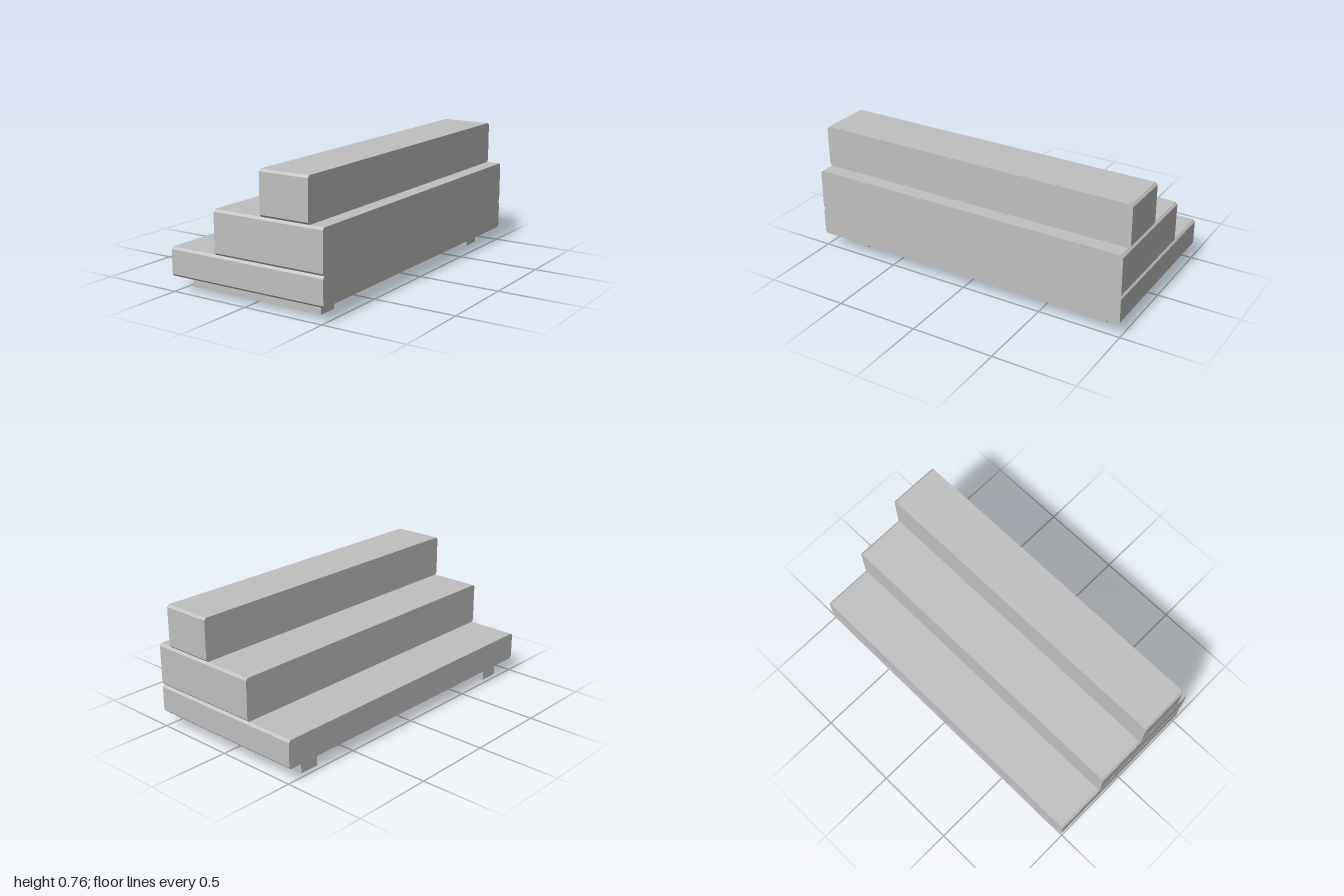
import * as THREE from 'three';

const grey = new THREE.MeshStandardMaterial({ color: 0xc0c0c0 });
grey.name = 'plain grey';

// Long slab along z whose end edges are chamfered, spanning x0..x1 and y0..y1
function slab(name, x0, x1, y0, y1, half = 1, c = 0.013) {
  const profile = new THREE.Shape([
    [-half + c, y0], [half - c, y0], [half, y0 + c], [half, y1 - c],
    [half - c, y1], [-half + c, y1], [-half, y1 - c], [-half, y0 + c],
  ].map(([z, y]) => new THREE.Vector2(z, y)));
  const geometry = new THREE.ExtrudeGeometry(profile, { depth: x1 - x0, bevelEnabled: false });
  geometry.rotateY(Math.PI / 2).translate(x0, 0, 0);
  const mesh = new THREE.Mesh(geometry, grey);
  mesh.name = name;
  return mesh;
}

export function createModel() {
  const model = new THREE.Group();
  model.name = 'steppedBlock';

  // Three stacked steps
  model.add(
    slab('lowerStep', -0.51, 0.51, 0.087, 0.256),
    slab('middleStep', -0.2, 0.51, 0.256, 0.51),
    slab('upperStep', 0.112, 0.421, 0.51, 0.765),
  );

  // Support rails under both ends
  for (const [name, z] of [['frontRail', 0.817], ['backRail', -0.814]]) {
    const rail = new THREE.Mesh(new THREE.BoxGeometry(0.878, 0.087, 0.12), grey);
    rail.position.set(-0.031, 0.0435, z);
    rail.name = name;
    model.add(rail);
  }
  return model;
}
